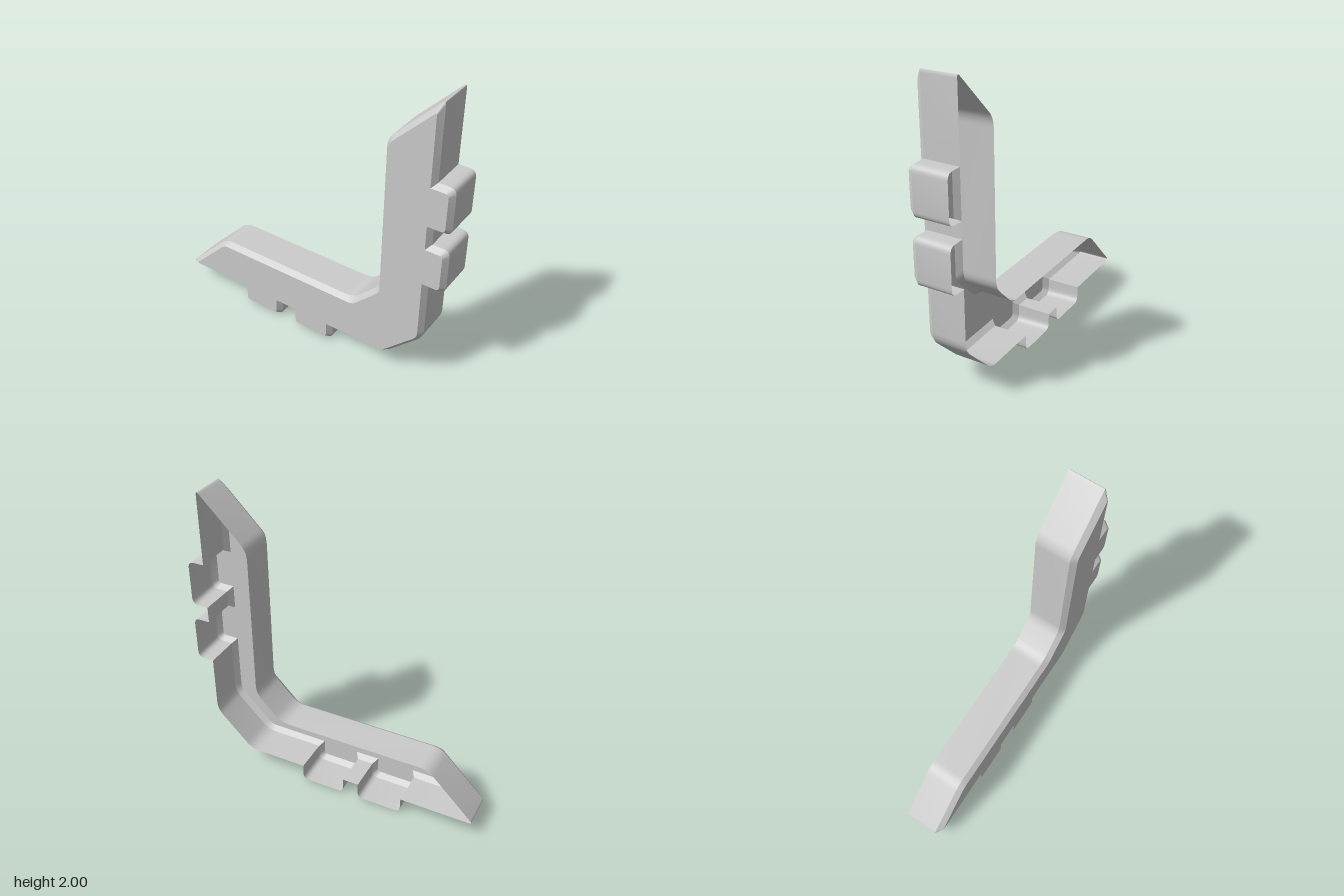
import * as THREE from 'three';
import { toCreasedNormals } from 'three/addons/utils/BufferGeometryUtils.js';

const BACK = -0.135, RIM = 0.098, FRONT = 0.135, CHAMFER = 0.027;

// Lower leg, outer edge from the tip to the elbow: [x, y, corner cut]
const lowerEdge = [[-1.012, 0.113, 0.03]];
for (const [x0, x1] of [[-0.51, -0.2], [-0.09, 0.215]]) {
  lowerEdge.push([x0, 0.113, 0], [x0, 0, 0.045], [x1, 0, 0.045], [x1, 0.113, 0]);
}
lowerEdge.push([0.625, 0.113, 0.06]);
// Lower leg, inner edge from the elbow back to the sloped end
const upperEdge = [[0.375, 0.442, 0.06], [-0.683, 0.442, 0.06]];

// The upright leg is the lower leg mirrored across the diagonal
const mirror = (pts) => pts.map(([x, y, d]) => [1 - y, 1 - x, d]).reverse();
const corners = [...lowerEdge, ...mirror(lowerEdge), ...mirror(upperEdge), ...upperEdge];

// Move every edge inwards by the same distance
function inset(pts, dist) {
  const n = pts.length;
  return pts.map(([x, y, d], i) => {
    const p = pts[(i + n - 1) % n], q = pts[(i + 1) % n];
    const a = new THREE.Vector2(x - p[0], y - p[1]).normalize();
    const b = new THREE.Vector2(q[0] - x, q[1] - y).normalize();
    const k = dist / (1 + a.dot(b));
    return [x - (a.y + b.y) * k, y + (a.x + b.x) * k, d * 0.6];
  });
}

// Replace each cut corner by a short curve
function rounded(pts) {
  const n = pts.length, out = [];
  pts.forEach(([x, y, d], i) => {
    const c = new THREE.Vector2(x, y);
    if (d === 0) { out.push(c); return; }
    const toward = ([px, py]) => new THREE.Vector2(px - x, py - y).setLength(d).add(c);
    const curve = new THREE.QuadraticBezierCurve(
      toward(pts[(i + n - 1) % n]), c, toward(pts[(i + 1) % n]));
    out.push(...curve.getPoints(5));
  });
  return out;
}

// Band of quads between two matching outlines
function band(ringA, zA, ringB, zB) {
  const pos = [], n = ringA.length;
  for (let i = 0; i < n; i++) {
    const j = (i + 1) % n;
    const a = [ringA[i].x, ringA[i].y, zA], b = [ringA[j].x, ringA[j].y, zA];
    const c = [ringB[j].x, ringB[j].y, zB], d = [ringB[i].x, ringB[i].y, zB];
    pos.push(...a, ...b, ...c, ...a, ...c, ...d);
  }
  const g = new THREE.BufferGeometry();
  g.setAttribute('position', new THREE.Float32BufferAttribute(pos, 3));
  return toCreasedNormals(g, 0.6);
}

export function createModel() {
  const group = new THREE.Group();
  group.name = 'cornerBracket';
  const material = new THREE.MeshStandardMaterial({ color: 0xcccccc, side: THREE.DoubleSide });
  const add = (name, geometry) => {
    const mesh = new THREE.Mesh(geometry, material);
    mesh.name = name;
    group.add(mesh);
  };

  const outer = rounded(corners);
  const inner = rounded(inset(corners, CHAMFER));

  // Hollow shell, open at the back
  add('sideWall', band(outer, BACK, outer, RIM));
  add('chamferedRim', band(outer, RIM, inner, FRONT));
  add('frontPlate', new THREE.ShapeGeometry(new THREE.Shape(inner)).translate(0, 0, FRONT));
  return group;
}
